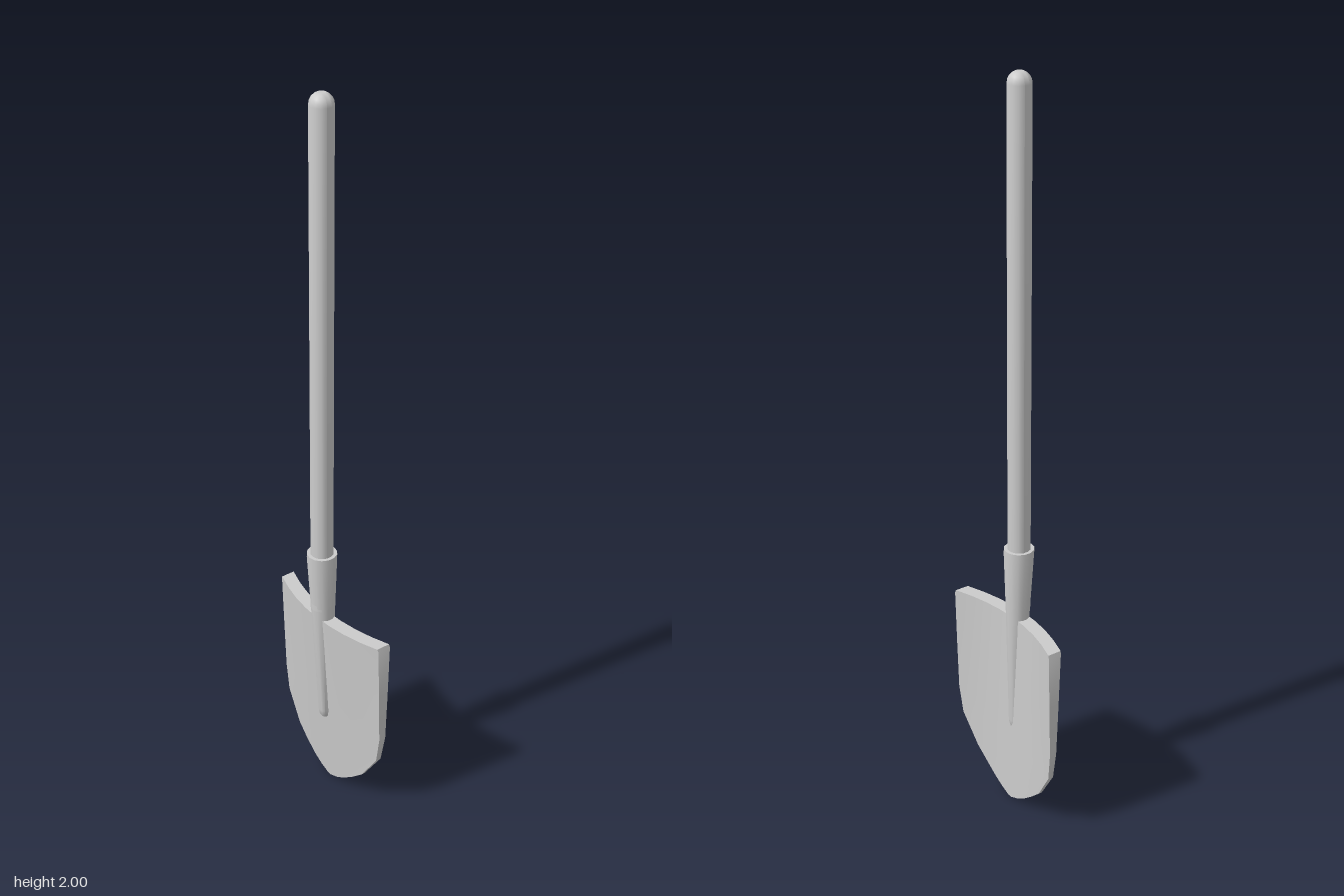
import * as THREE from 'three';
import { toCreasedNormals } from 'three/addons/utils/BufferGeometryUtils.js';

const material = new THREE.MeshStandardMaterial({ color: 0xcccccc });
const AXIS_Z = 0.009; // depth of the handle axis
const BLADE_TOP = 0.57;

function part(name, geometry, crease = 0.7) {
  const mesh = new THREE.Mesh(toCreasedNormals(geometry, crease), material);
  mesh.name = name;
  return mesh;
}

function lathe(profile, sides) {
  return new THREE.LatheGeometry(profile.map(([r, y]) => new THREE.Vector2(r, y)), sides);
}

// Dished blade: closed cross-sections lofted from the tip to the top edge
function bladeGeometry() {
  const rows = [ // height, half width
    [0, 0.006], [0.012, 0.035], [0.03, 0.065], [0.06, 0.103], [0.095, 0.142],
    [0.18, 0.197], [0.26, 0.209], [0.41, 0.21], [0.562, 0.21], [BLADE_TOP, 0.207],
  ];
  const cols = 9;
  const ring = cols * 2;
  const positions = [];
  const index = [];
  const { lerp } = THREE.MathUtils;

  for (const [y, half] of rows) {
    const t = y / BLADE_TOP;
    const front = lerp(-0.017, 0.027, t);
    const back = lerp(-0.022, -0.012, t);
    const dish = lerp(0.016, 0.04, t) / (0.21 * 0.21);
    for (let i = 0; i < ring; i++) {
      const isFront = i < cols;
      const u = isFront ? i : ring - 1 - i;
      const x = half * (2 * u / (cols - 1) - 1);
      positions.push(x, y, (isFront ? front : back) - dish * x * x);
    }
  }

  const quad = (a, b, c, d) => index.push(a, b, c, a, c, d);
  for (let j = 0; j < rows.length - 1; j++) {
    for (let i = 0; i < ring; i++) {
      const n = (i + 1) % ring;
      quad(j * ring + i, j * ring + n, (j + 1) * ring + n, (j + 1) * ring + i);
    }
  }
  // Top edge and tip faces
  const top = (rows.length - 1) * ring;
  for (let i = 0; i < cols - 1; i++) {
    quad(top + i, top + i + 1, top + ring - 2 - i, top + ring - 1 - i);
    quad(ring - 1 - i, ring - 2 - i, i + 1, i);
  }

  const geometry = new THREE.BufferGeometry();
  geometry.setAttribute('position', new THREE.Float32BufferAttribute(positions, 3));
  geometry.setIndex(index);
  return geometry;
}

// Tapered socket leaning back along the blade to a rounded end
function socketGeometry() {
  const geometry = lathe([
    [0, 0.22], [0.01, 0.223], [0.016, 0.232], [0.019, 0.25],
    [0.0315, BLADE_TOP], [0.0405, 0.762], [0.04, 0.77], [0.029, 0.77],
  ], 14);
  const pos = geometry.attributes.position;
  for (let i = 0; i < pos.count; i++) {
    pos.setZ(i, pos.getZ(i) + AXIS_Z - 0.021 * (0.77 - pos.getY(i)));
  }
  return geometry;
}

export function createModel() {
  const model = new THREE.Group();
  model.name = 'shovel';

  // Straight round handle with a domed end
  const r = 0.0305;
  const profile = [[0, 0.6], [r, 0.6]];
  for (let i = 0; i <= 5; i++) {
    const a = (i / 5) * Math.PI / 2;
    profile.push([i === 5 ? 0 : r * Math.cos(a), 2 - r + r * Math.sin(a)]);
  }
  const handle = part('handle', lathe(profile, 14));
  handle.position.z = AXIS_Z;

  model.add(handle, part('socket', socketGeometry()), part('blade', bladeGeometry(), 0.6));
  return model;
}
